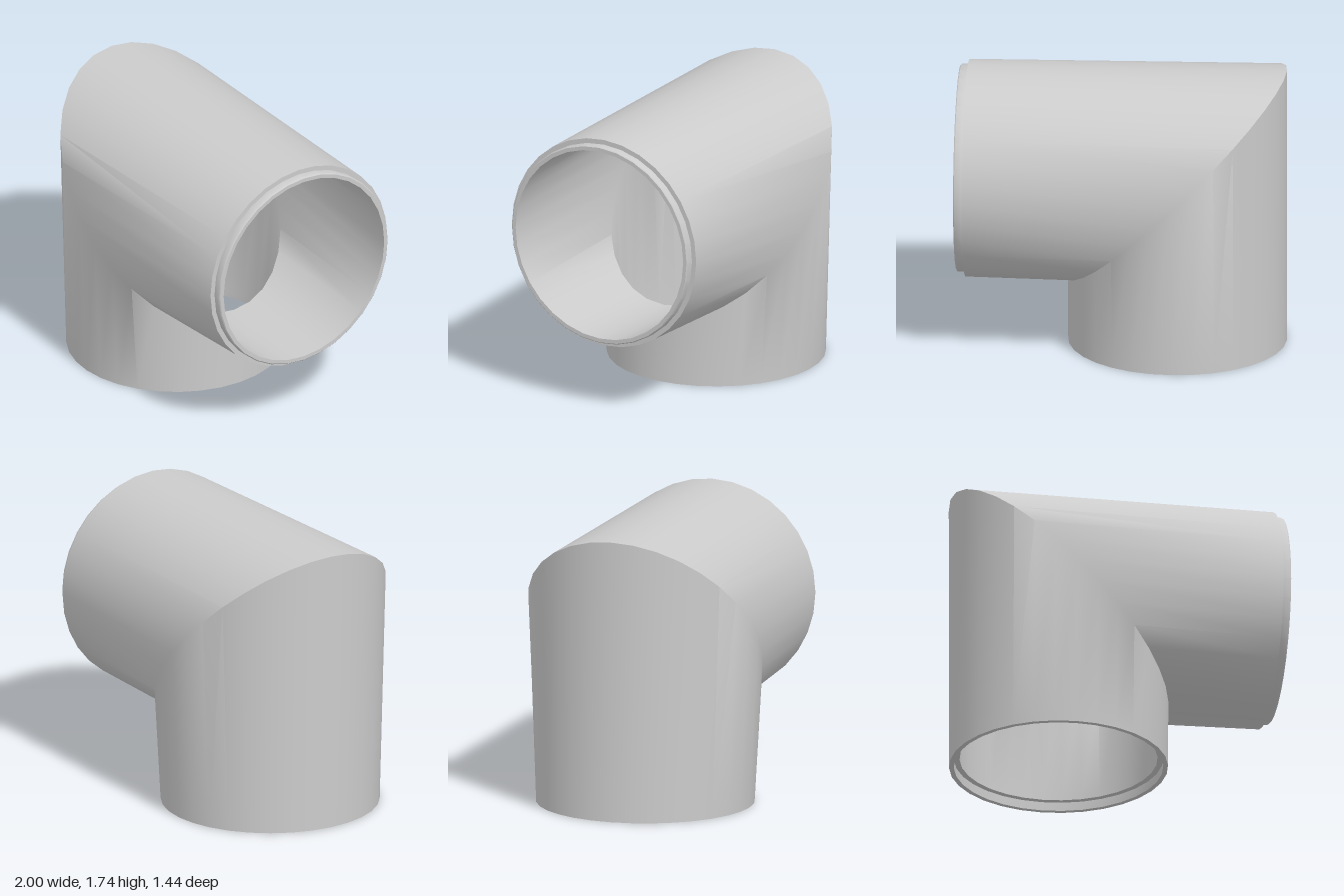
import * as THREE from 'three';
import { toCreasedNormals } from 'three/addons/utils/BufferGeometryUtils.js';

const SIDES = 32;
const AXIS_X = -0.333; // axis of the vertical branch
const AXIS_Y = 1.075;  // axis of the horizontal branch
const material = new THREE.MeshStandardMaterial({ color: 0xcccccc, side: THREE.DoubleSide });

// Cross-sections: across the vertical branch, across the horizontal one, and along the mitre
const level = (y, r) => (c, s) => [AXIS_X + r * c, y, r * s];
const upright = (x, r) => (c, s) => [x, AXIS_Y - r * c, r * s];
const mitre = (r, rz) => (c, s) => [AXIS_X + r * c, AXIS_Y - r * c, rz * s];

// Skin a run of cross-sections, keeping edges sharper than 45 degrees
function loft(name, sections) {
  const positions = [], index = [];
  sections.forEach((section, i) => {
    for (let j = 0; j < SIDES; j++) {
      const t = (j / SIDES) * Math.PI * 2;
      positions.push(...section(Math.cos(t), Math.sin(t)));
      if (i === sections.length - 1) continue;
      const k = (j + 1) % SIDES;
      const a = i * SIDES + j, b = i * SIDES + k;
      index.push(a, a + SIDES, b, b, a + SIDES, b + SIDES);
    }
  });
  const geometry = new THREE.BufferGeometry();
  geometry.setAttribute('position', new THREE.Float32BufferAttribute(positions, 3));
  geometry.setIndex(index);
  const mesh = new THREE.Mesh(toCreasedNormals(geometry, Math.PI / 4), material);
  mesh.name = name;
  return mesh;
}

export function createModel() {
  const group = new THREE.Group();
  group.name = 'pipeElbow';

  group.add(
    // Outer wall, widening sideways towards the mitre
    loft('outerWall', [level(0, 0.667), mitre(0.667, 0.72), upright(0.947, 0.663)]),
    // Stepped-in spigot on the horizontal end
    loft('spigot', [
      upright(0.947, 0.663), upright(0.947, 0.633), upright(0.994, 0.633),
      upright(1, 0.627), upright(1, 0.603),
    ]),
    // Bore through both branches
    loft('bore', [upright(1, 0.603), mitre(0.603, 0.655), level(0.055, 0.603)]),
    // Recessed socket on the bottom end
    loft('socket', [level(0.055, 0.603), level(0.055, 0.638), level(0, 0.638), level(0, 0.667)]),
  );
  return group;
}
